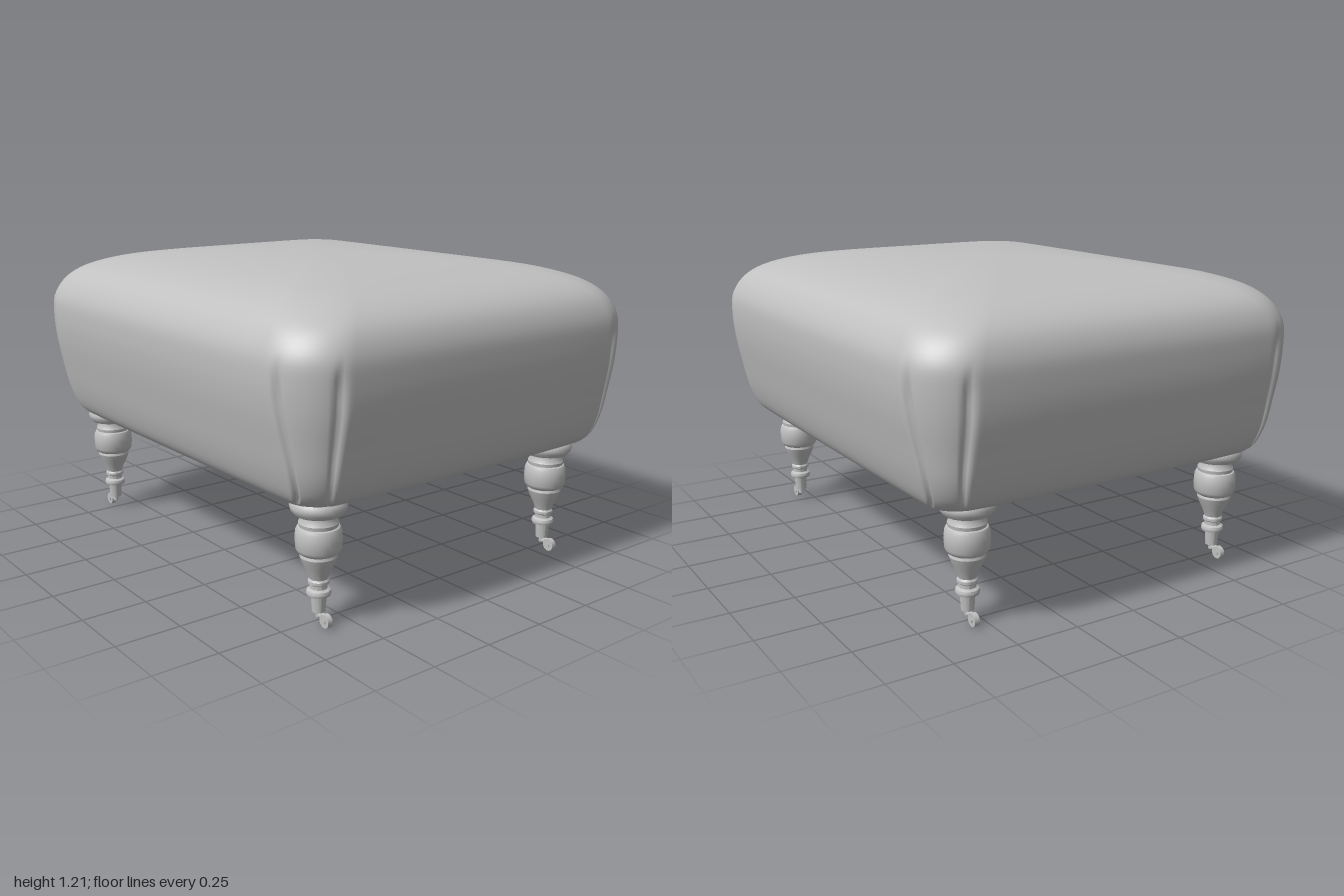
import * as THREE from 'three';
import { mergeVertices, toCreasedNormals } from 'three/addons/utils/BufferGeometryUtils.js';

const upholstery = new THREE.MeshStandardMaterial({ name: 'soft grey', color: 0xc0c0c0 });

// Cushion levels, bottom to top: half width, height, half depth
const LEVELS = [
  [0, 0.437, 0], [0.45, 0.438, 0.38], [0.78, 0.442, 0.64], [0.86, 0.452, 0.7],
  [0.915, 0.485, 0.735], [0.95, 0.56, 0.765], [0.975, 0.68, 0.795], [0.995, 0.8, 0.82],
  [1, 0.9, 0.83], [0.995, 0.98, 0.825], [0.965, 1.05, 0.79], [0.91, 1.1, 0.735],
  [0.81, 1.14, 0.64], [0.65, 1.17, 0.5], [0.4, 1.195, 0.28], [0, 1.205, 0],
].map((p) => new THREE.Vector3(...p));

// Rounded rectangle with gently bulging sides and two pleats pressed into each corner
function cushionRing(hx, y, hz) {
  const points = [];
  const r = hx * THREE.MathUtils.lerp(0.12, 0.2, THREE.MathUtils.smoothstep(y, 0.45, 0.9));
  const pleatDepth = 0.022 * THREE.MathUtils.smoothstep(y, 0.45, 0.5)
    * (1 - THREE.MathUtils.smoothstep(y, 0.85, 1.0));
  const corners = [[1, 1], [-1, 1], [-1, -1], [1, -1]];
  const arcSteps = 24, sideSteps = 12;
  const centre = (k) => [corners[k % 4][0] * (hx - r), corners[k % 4][1] * Math.max(hz - r, 0)];
  for (let k = 0; k < 4; k++) {
    const [cx, cz] = centre(k);
    for (let i = 0; i <= arcSteps; i++) {
      const t = i / arcSteps;
      const a = (k + t) * Math.PI / 2;
      const pleat = Math.exp(-(((t - 0.17) / 0.04) ** 2)) + Math.exp(-(((t - 0.83) / 0.04) ** 2));
      const d = r - pleatDepth * pleat;
      points.push([cx + d * Math.cos(a), cz + d * Math.sin(a)]);
    }
    // Straight run to the next corner
    const end = (k + 1) * Math.PI / 2;
    const [nx, nz] = centre(k + 1);
    for (let i = 1; i < sideSteps; i++) {
      const t = i / sideSteps;
      points.push([
        THREE.MathUtils.lerp(cx, nx, t) + r * Math.cos(end),
        THREE.MathUtils.lerp(cz, nz, t) + r * Math.sin(end),
      ]);
    }
  }
  return points.map(([x, z]) => {
    const u = hx > 0 ? Math.abs(x / hx) : 0;
    const v = hz > 0 ? Math.abs(z / hz) : 0;
    return [x * (1 - 0.025 * v ** 4), y, z * (1 - 0.008 * u ** 4)];
  });
}

function cushionGeometry() {
  const rings = new THREE.CatmullRomCurve3(LEVELS).getPoints(60)
    .map((p) => cushionRing(Math.max(p.x, 0), p.y, Math.max(p.z, 0)));
  const n = rings[0].length;
  const index = [];
  for (let i = 0; i < rings.length - 1; i++) {
    for (let j = 0; j < n; j++) {
      const a = i * n + j, b = i * n + (j + 1) % n;
      index.push(a, a + n, b, b, a + n, b + n);
    }
  }
  const geometry = new THREE.BufferGeometry();
  geometry.setAttribute('position', new THREE.Float32BufferAttribute(rings.flat(2), 3));
  geometry.setIndex(index);
  const merged = mergeVertices(geometry, 1e-4);
  merged.computeVertexNormals();
  return merged;
}

// Turned leg outline: radius, height
const LEG_PROFILE = [
  [0, 0.048], [0.024, 0.048], [0.028, 0.105], [0.042, 0.11], [0.045, 0.12], [0.042, 0.13],
  [0.031, 0.136], [0.031, 0.15], [0.038, 0.155], [0.038, 0.165], [0.033, 0.172], [0.043, 0.2],
  [0.058, 0.23], [0.067, 0.255], [0.064, 0.265], [0.075, 0.272], [0.081, 0.285], [0.083, 0.32],
  [0.081, 0.35], [0.075, 0.362], [0.069, 0.365], [0.071, 0.378], [0.062, 0.395], [0.062, 0.405],
  [0.085, 0.41], [0.098, 0.425], [0.102, 0.44], [0.098, 0.455], [0.085, 0.47], [0, 0.47],
].map((p) => new THREE.Vector2(...p));

function add(parent, name, geometry, x = 0, y = 0, z = 0) {
  const mesh = new THREE.Mesh(geometry, upholstery);
  mesh.name = name;
  mesh.position.set(x, y, z);
  parent.add(mesh);
  return mesh;
}

// Leg with its caster trailing outward along +x
function makeLeg() {
  const leg = new THREE.Group();
  add(leg, 'turnedLeg', toCreasedNormals(new THREE.LatheGeometry(LEG_PROFILE, 28), 0.6));
  add(leg, 'casterStem', new THREE.CylinderGeometry(0.011, 0.011, 0.03, 12), 0, 0.042, 0);
  const arm = new THREE.CatmullRomCurve3([
    new THREE.Vector3(-0.006, 0.034, 0), new THREE.Vector3(0.015, 0.034, 0),
    new THREE.Vector3(0.03, 0.04, 0), new THREE.Vector3(0.045, 0.026, 0),
  ]);
  add(leg, 'casterArm', new THREE.TubeGeometry(arm, 12, 0.01, 8));
  add(leg, 'casterWheel', new THREE.CylinderGeometry(0.025, 0.025, 0.02, 20), 0.042, 0.025, 0)
    .rotation.x = Math.PI / 2;
  add(leg, 'casterAxle', new THREE.CylinderGeometry(0.009, 0.009, 0.028, 10), 0.042, 0.025, 0)
    .rotation.x = Math.PI / 2;
  return leg;
}

export function createModel() {
  const model = new THREE.Group();
  model.name = 'footstool';
  add(model, 'cushion', cushionGeometry());
  for (const [side, x] of [['Left', 0.775], ['Right', -0.76]]) {
    for (const [end, z] of [['front', 0.605], ['back', -0.555]]) {
      const leg = makeLeg();
      leg.name = `${end}${side}Leg`;
      leg.position.set(x, 0, z);
      if (x < 0) leg.rotation.y = Math.PI;
      model.add(leg);
    }
  }
  return model;
}
